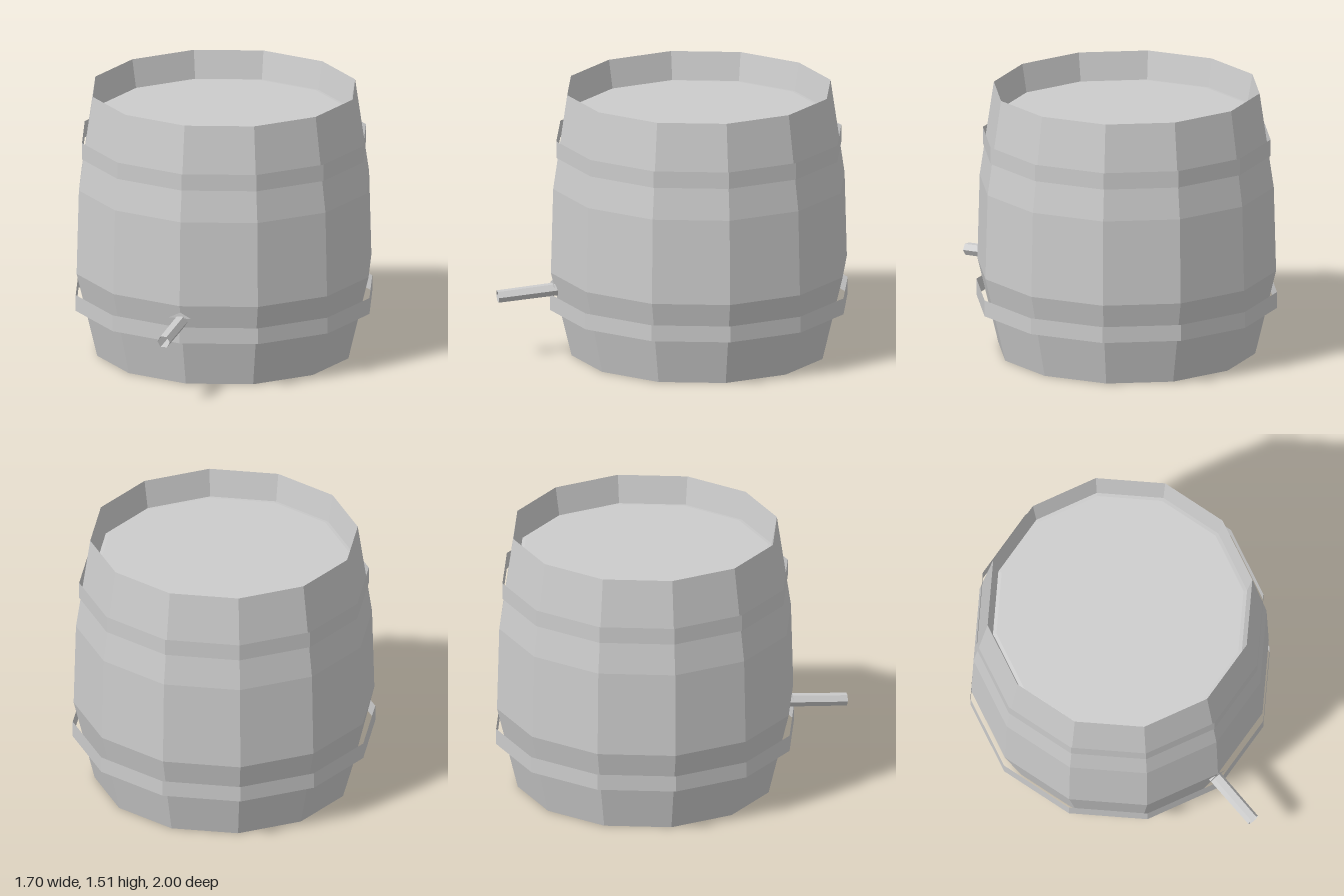
import * as THREE from 'three';

const SIDES = 12;

export function createModel() {
  const group = new THREE.Group();
  const grey = new THREE.MeshStandardMaterial({ color: 0xcccccc, flatShading: true, side: THREE.DoubleSide });
  grey.name = 'plainGrey';

  const add = (name, geometry, parent = group) => {
    const mesh = new THREE.Mesh(geometry, grey);
    mesh.name = name;
    parent.add(mesh);
    return mesh;
  };
  const lathe = (points) =>
    new THREE.LatheGeometry(points.map(([r, y]) => new THREE.Vector2(r, y)), SIDES);

  // The cask sits behind the origin to leave room for the spout
  const cask = new THREE.Group();
  cask.name = 'cask';
  cask.position.z = -0.148;
  group.add(cask);

  // Floor, bulging wall and the sloped inside of the rim
  add('barrelBody', lathe([
    [0, 0], [0.725, 0], [0.843, 0.485], [0.83, 0.97], [0.75, 1.51], [0.72, 1.35],
  ]), cask);

  // Recessed lid
  add('lid', lathe([[0.72, 1.35], [0.7, 1.352], [0, 1.352]]), cask);

  // Open sheet hoops standing off the wall
  add('lowerHoop', lathe([[0.848, 0.27], [0.848, 0.362]]), cask);
  add('upperHoop', lathe([[0.812, 1.15], [0.812, 1.245]]), cask);

  // Hollow six-sided spout, tipped slightly down
  const pipe = new THREE.CylinderGeometry(0.036, 0.038, 0.36, 6, 1, true);
  pipe.rotateY(Math.PI / 6).rotateX(Math.PI / 2 + 0.075);
  add('spout', pipe).position.set(0, 0.379, 0.819);

  // Small gable plate above the spout, against the wall
  const gable = new THREE.Shape();
  gable.moveTo(-0.065, 0.412);
  gable.lineTo(0.065, 0.412);
  gable.lineTo(0, 0.445);
  add('spoutGable', new THREE.ShapeGeometry(gable)).position.z = 0.685;

  return group;
}
